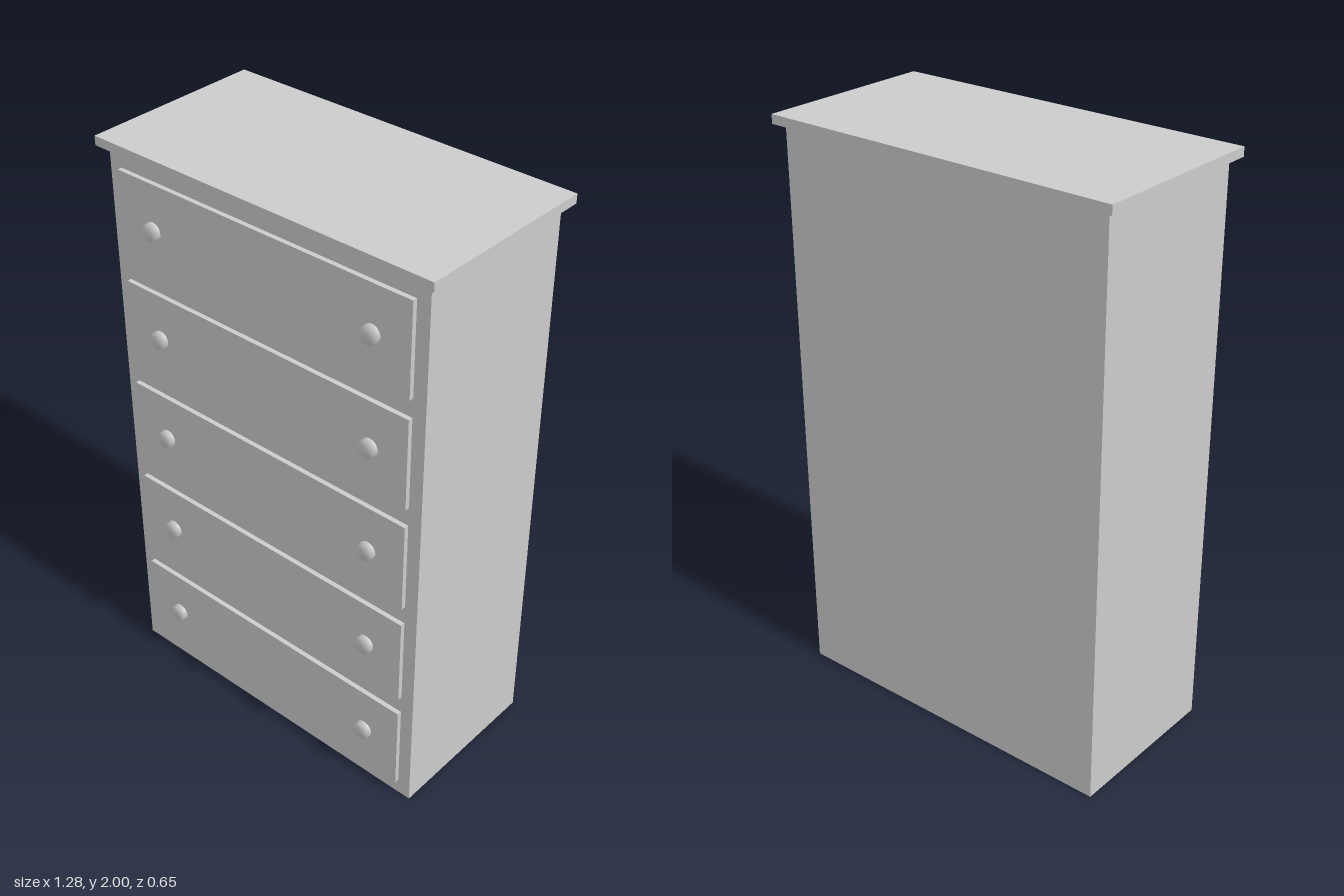
import * as THREE from 'three';

const grey = new THREE.MeshStandardMaterial({ color: 0xcccccc });

// Box given by its bounds in y and z, centred on x
function slab(name, width, y0, y1, z0, z1) {
  const mesh = new THREE.Mesh(new THREE.BoxGeometry(width, y1 - y0, z1 - z0), grey);
  mesh.name = name;
  mesh.position.set(0, (y0 + y1) / 2, (z0 + z1) / 2);
  return mesh;
}

export function createModel() {
  const chest = new THREE.Group();
  chest.name = 'chestOfDrawers';

  const bodyFront = 0.288, drawerFront = 0.304, knobFront = 0.323;

  // Carcass and overhanging top
  chest.add(slab('body', 1.222, 0, 1.969, -0.294, bodyFront));
  chest.add(slab('top', 1.28, 1.969, 2, -0.323, 0.317));

  // Short round knob with a softly shaded rim, turned to face +z
  const depth = knobFront - drawerFront;
  const knobGeometry = new THREE.LatheGeometry([
    new THREE.Vector2(0.031, 0),
    new THREE.Vector2(0.03, depth),
    new THREE.Vector2(0, depth),
  ], 32).rotateX(Math.PI / 2);

  // Five drawers, each with a pair of knobs
  for (let i = 0; i < 5; i++) {
    const y = 0.217 + i * 0.3835;
    const drawer = new THREE.Group();
    drawer.name = `drawer${i + 1}`;
    drawer.add(slab('drawerFront', 1.128, y - 0.159, y + 0.159, bodyFront - 0.01, drawerFront));
    for (const side of [-1, 1]) {
      const knob = new THREE.Mesh(knobGeometry, grey);
      knob.name = side > 0 ? 'leftKnob' : 'rightKnob';
      knob.position.set(side * 0.426, y, drawerFront);
      drawer.add(knob);
    }
    chest.add(drawer);
  }
  return chest;
}
